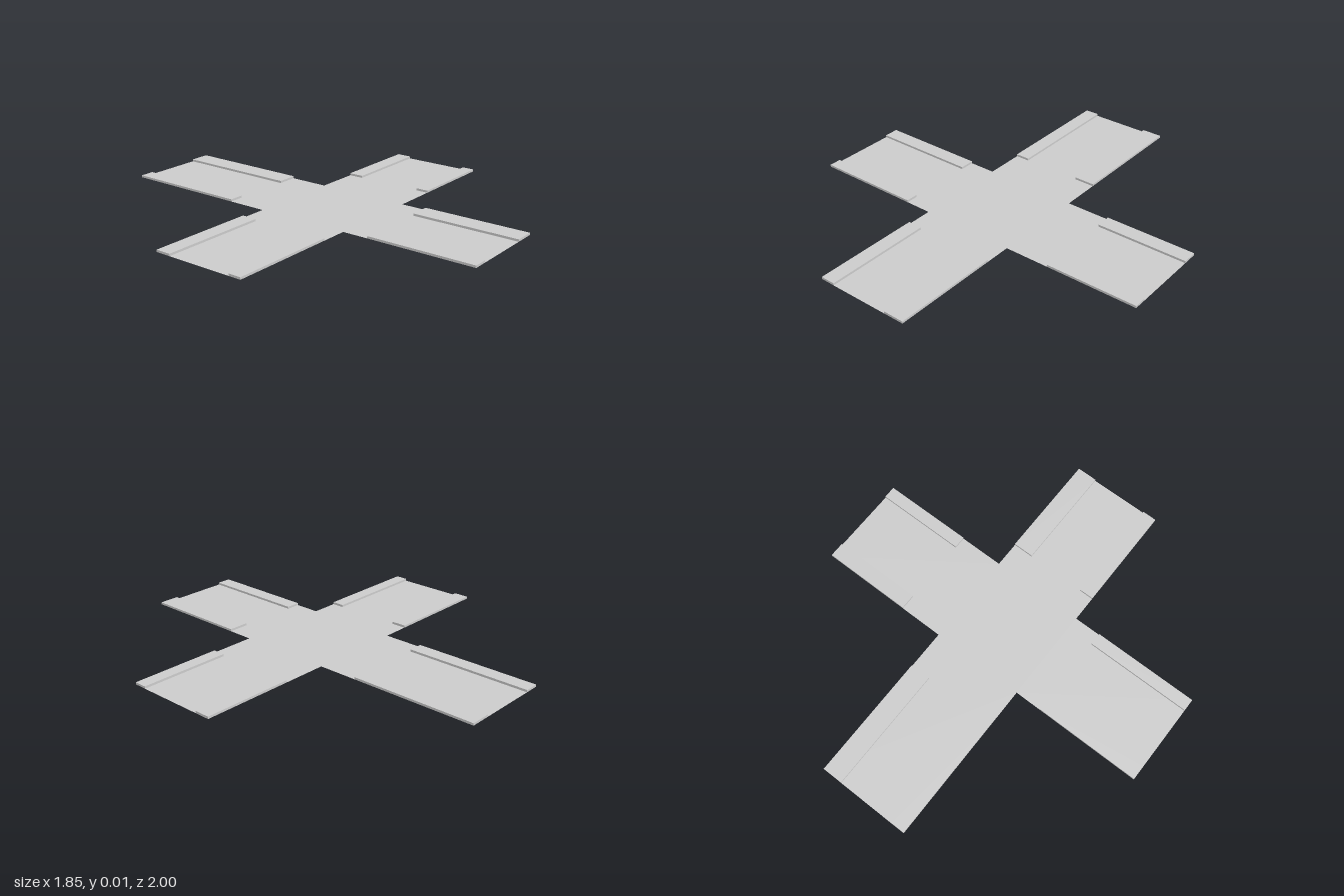
import * as THREE from 'three';

export function createModel() {
  const group = new THREE.Group();
  const material = new THREE.MeshStandardMaterial({ color: 0xcccccc, side: THREE.DoubleSide, flatShading: true });

  // Extents of the two crossing roads
  const endX = 0.925, endZ = 1;
  const x0 = -0.243, x1 = 0.237;
  const z0 = -0.157, z1 = 0.323;
  const height = 0.011;

  // Flat cross-shaped road surface (shape y becomes -z)
  const outline = [
    [x0, -endZ], [x1, -endZ], [x1, z0], [endX, z0], [endX, z1], [x1, z1],
    [x1, endZ], [x0, endZ], [x0, z1], [-endX, z1], [-endX, z0], [x0, z0],
  ].map(([x, z]) => new THREE.Vector2(x, -z));
  const road = new THREE.Mesh(new THREE.ShapeGeometry(new THREE.Shape(outline)), material);
  road.geometry.rotateX(-Math.PI / 2);
  road.name = 'roadSurface';
  group.add(road);

  // Raised pavement strip covering a rectangle of the ground
  function pavement(name, xa, xb, za, zb) {
    const mesh = new THREE.Mesh(new THREE.BoxGeometry(xb - xa, height, zb - za), material);
    mesh.position.set((xa + xb) / 2, height / 2, (za + zb) / 2);
    mesh.name = name;
    group.add(mesh);
  }

  // Pavements along the front and back arms
  for (const [arm, za, zb] of [['back', -endZ, -0.36], ['front', 0.455, endZ]]) {
    pavement(arm + 'ArmRightPavement', x0, -0.17, za, zb);
    pavement(arm + 'ArmLeftPavement', 0.132, x1, za, zb);
  }

  // Pavements along the side arms
  for (const [arm, xa, xb] of [['right', -endX, -0.38], ['left', 0.463, endX]]) {
    pavement(arm + 'ArmBackPavement', xa, xb, z0, -0.08);
    pavement(arm + 'ArmFrontPavement', xa, xb, 0.26, z1);
  }

  return group;
}
